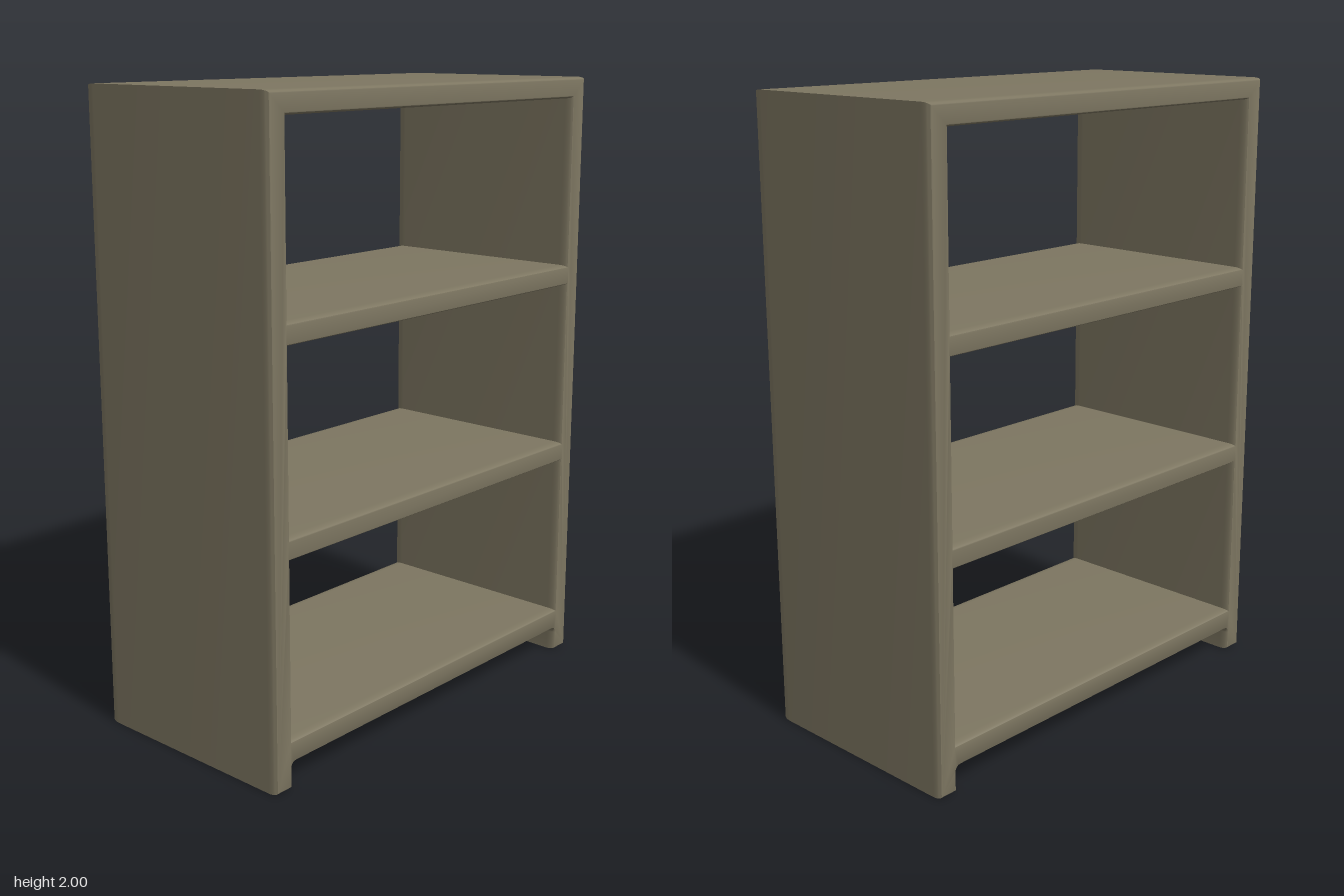
import * as THREE from 'three';
import { toCreasedNormals } from 'three/addons/utils/BufferGeometryUtils.js';

const HALF_LENGTH = 0.737;  // along z
const HALF_DEPTH = 0.369;   // along x
const INNER = 0.667;        // inner face of the side panels
const HEIGHT = 2;
const BEVEL = 0.03;
const LIP = 0.009;

export function createModel() {
  const group = new THREE.Group();
  group.name = 'bookcase';
  const material = new THREE.MeshStandardMaterial({ color: 0x7d7661 });

  // Outline: two side panels that reach the floor, recessed underside with small fillets
  const r = 0.015, under = 0.08;
  const outline = new THREE.Shape();
  outline.moveTo(-HALF_LENGTH, 0);
  outline.lineTo(-INNER, 0);
  outline.lineTo(-INNER, under - r);
  outline.quadraticCurveTo(-INNER, under, -INNER + r, under);
  outline.lineTo(INNER - r, under);
  outline.quadraticCurveTo(INNER, under, INNER, under - r);
  outline.lineTo(INNER, 0);
  outline.lineTo(HALF_LENGTH, 0);
  outline.lineTo(HALF_LENGTH, HEIGHT);
  outline.lineTo(-HALF_LENGTH, HEIGHT);
  outline.closePath();

  // Three open compartments, with the shelves left between them
  for (const [bottom, top] of [[0.153, 0.7], [0.768, 1.315], [1.383, 1.932]]) {
    const hole = new THREE.Path();
    hole.moveTo(-INNER, bottom);
    hole.lineTo(-INNER, top);
    hole.lineTo(INNER, top);
    hole.lineTo(INNER, bottom);
    hole.closePath();
    outline.holes.push(hole);
  }

  // Extrude through the depth, with softly rounded front and back edges
  const length = 2 * (HALF_DEPTH - BEVEL);
  const geometry = new THREE.ExtrudeGeometry(outline, {
    depth: length,
    curveSegments: 5,
    bevelEnabled: true,
    bevelThickness: BEVEL,
    bevelSize: LIP,
    bevelOffset: -LIP,
    bevelSegments: 6,
  });
  geometry.translate(0, 0, -length / 2);
  geometry.rotateY(Math.PI / 2);

  const frame = new THREE.Mesh(toCreasedNormals(geometry, 0.45), material);
  frame.name = 'frameWithShelves';
  group.add(frame);
  return group;
}
